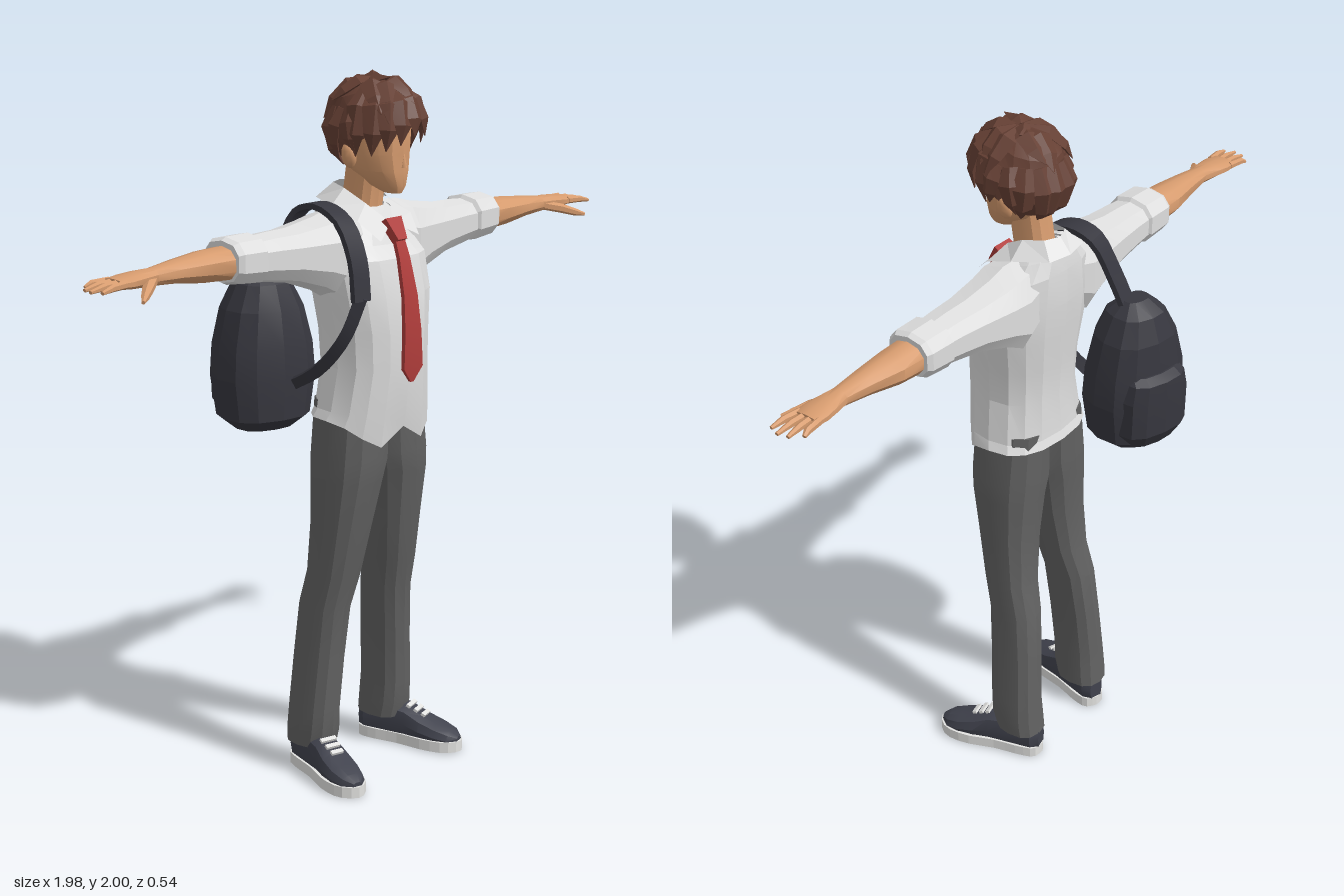
import * as THREE from 'three';
import { toCreasedNormals } from 'three/addons/utils/BufferGeometryUtils.js';

const V = (x, y, z) => new THREE.Vector3(x, y, z);
const mat = (name, color, extra = {}) => Object.assign(new THREE.MeshStandardMaterial({ color, ...extra }), { name });
const rad = THREE.MathUtils.degToRad;

// Skins closed rings of points; ring order must turn counter-clockwise about the travel direction.
function skin(rings, crease = 0.45, caps = true) {
  const n = rings[0].length, pos = [], idx = [];
  rings.flat().forEach(p => pos.push(p.x, p.y, p.z));
  for (let i = 0; i < rings.length - 1; i++) {
    for (let j = 0; j < n; j++) {
      const a = i * n + j, b = i * n + (j + 1) % n;
      idx.push(a, b, a + n, b, b + n, a + n);
    }
  }
  if (caps) {
    const e = (rings.length - 1) * n;
    for (let j = 1; j < n - 1; j++) idx.push(0, j + 1, j, e, e + j, e + j + 1);
  }
  const g = new THREE.BufferGeometry();
  g.setAttribute('position', new THREE.Float32BufferAttribute(pos, 3));
  g.setIndex(idx);
  return toCreasedNormals(g, crease);
}

// Rounded sections along an axis (0 x, 1 y, 2 z): [station, u0, u1, v0, v1], u and v being the next two axes.
function loft(axis, sections, { n = 12, power = 0.8, crease, caps, tweak } = {}) {
  const round = c => Math.sign(c) * Math.pow(Math.abs(c), power);
  return skin(sections.map(([s, u0, u1, v0, v1], row) => Array.from({ length: n }, (_, j) => {
    const t = j / n * Math.PI * 2, p = V(0, 0, 0);
    p.setComponent(axis, s);
    p.setComponent((axis + 1) % 3, (u0 + u1) / 2 + (u1 - u0) / 2 * round(Math.cos(t)));
    p.setComponent((axis + 2) % 3, (v0 + v1) / 2 + (v1 - v0) / 2 * round(Math.sin(t)));
    if (tweak) tweak(p, row, t);
    return p;
  })), crease, caps);
}

// Sweeps a section along points; thick lies along normalAt(p), wide across it.
function sweep(pts, thick, wide, normalAt, { n = 4, box = false, crease = 0.3 } = {}) {
  const k = box ? Math.SQRT2 : 1, off = box ? Math.PI / 4 : 0;
  return skin(pts.map((p, i) => {
    const d = pts[Math.min(i + 1, pts.length - 1)].clone().sub(pts[Math.max(i - 1, 0)]).normalize();
    const u = normalAt(p).clone().addScaledVector(d, -normalAt(p).dot(d)).normalize();
    const v = d.clone().cross(u);
    return Array.from({ length: n }, (_, j) => {
      const t = off + j / n * Math.PI * 2;
      return p.clone().addScaledVector(u, thick[i] * k * Math.cos(t)).addScaledVector(v, wide[i] * k * Math.sin(t));
    });
  }), crease);
}

function mirrored(geo) {
  const g = geo.index ? geo.toNonIndexed() : geo.clone();
  for (const name of ['position', 'normal']) {
    const a = g.attributes[name], src = a.clone();
    for (let i = 0; i < a.count; i++) {
      const j = i % 3 === 0 ? i : i % 3 === 1 ? i + 1 : i - 1;
      a.setXYZ(i, -src.getX(j), src.getY(j), src.getZ(j));
    }
  }
  return g;
}

export function createModel() {
  const model = new THREE.Group();
  const skinM = mat('skin', 0xd69b6e), hairM = mat('hair brown', 0x664034, { side: THREE.DoubleSide });
  const shirtM = mat('shirt white', 0xdedede, { side: THREE.DoubleSide }), tieM = mat('tie red', 0xb03d3b);
  const trouserM = mat('trouser grey', 0x626262), bagM = mat('bag charcoal', 0x37373f);
  const shoeM = mat('shoe slate', 0x41434e), soleM = mat('sole white', 0xe2e2e0), treadM = mat('tread black', 0x212125);
  const add = (name, geo, m, parent = model) => {
    const mesh = new THREE.Mesh(geo, m);
    mesh.name = name;
    parent.add(mesh);
    return mesh;
  };
  const pair = (name, geo, m) => {
    add('left' + name, geo, m);
    add('right' + name, mirrored(geo), m);
  };

  // Shirt body with a wavy tail hem and a neckline lower at the front
  add('shirtBody', loft(1, [
    [1.0, -0.03, 0.225, -0.178, 0.178], [1.08, -0.022, 0.235, -0.167, 0.167], [1.2, -0.015, 0.245, -0.148, 0.148],
    [1.3, -0.022, 0.245, -0.152, 0.152], [1.4, -0.033, 0.238, -0.17, 0.17], [1.5, -0.042, 0.212, -0.175, 0.175],
    [1.57, -0.042, 0.18, -0.155, 0.155], [1.62, -0.035, 0.15, -0.105, 0.105], [1.65, -0.01, 0.125, -0.06, 0.06],
  ], {
    n: 16, crease: 0.2, caps: false, tweak: (p, row, t) => {
      if (row === 0) p.y = Math.abs(p.x) < 0.02 && p.z > 0.1 ? 1.03 : 1.055 - 0.085 * Math.max(0, Math.cos(t)) ** 2;
      if (p.y > 1.55) p.y += (0.06 - p.z) * 0.3;
    },
  }), shirtM);

  // Sleeves and rolled cuffs
  pair('Sleeve', loft(0, [
    [0.08, 1.42, 1.635, -0.025, 0.15], [0.14, 1.385, 1.632, -0.035, 0.165], [0.2, 1.42, 1.617, -0.03, 0.155],
    [0.3, 1.455, 1.602, -0.015, 0.142], [0.38, 1.468, 1.6, -0.008, 0.135], [0.45, 1.48, 1.595, -0.004, 0.13],
  ], { n: 10, crease: 0.2 }), shirtM);
  pair('Cuff', loft(0, [
    [0.425, 1.485, 1.595, 0.0, 0.127], [0.435, 1.472, 1.607, -0.013, 0.14],
    [0.515, 1.48, 1.606, -0.013, 0.138], [0.53, 1.487, 1.598, -0.004, 0.128],
  ], { n: 10, crease: 0.2 }), shirtM);

  // Folded collar, one half mirrored
  const top = [V(0.005, 1.592, 0.178), V(0.048, 1.645, 0.125), V(0.064, 1.682, 0.06), V(0.045, 1.69, 0.002), V(0, 1.69, -0.018)];
  const low = [V(0.078, 1.553, 0.208), V(0.108, 1.605, 0.15), V(0.115, 1.638, 0.06), V(0.072, 1.648, -0.038), V(0, 1.648, -0.053)];
  const collar = new THREE.BufferGeometry().setFromPoints(top.slice(1).flatMap((_, i) =>
    [low[i], low[i + 1], top[i], low[i + 1], top[i + 1], top[i]]));
  collar.computeVertexNormals();
  pair('Collar', collar, shirtM);

  // Tie
  const front = () => V(0, 0, 1);
  add('tieKnot', sweep([V(0, 1.6, 0.172), V(0, 1.545, 0.208)], [0.014, 0.012], [0.032, 0.018], front, { box: true }), tieM);
  add('tieBlade', sweep([V(0, 1.555, 0.2), V(0, 1.5, 0.22), V(0, 1.4, 0.243), V(0.002, 1.3, 0.251), V(0.004, 1.2, 0.251), V(0.004, 1.16, 0.248)],
    [0.006, 0.006, 0.006, 0.006, 0.006, 0.004], [0.018, 0.021, 0.027, 0.033, 0.038, 0.006], front, { box: true }), tieM);

  // Neck, head, ears and nose
  add('neck', loft(1, [[1.55, -0.01, 0.13, -0.055, 0.055], [1.63, 0.01, 0.125, -0.046, 0.046], [1.76, 0.03, 0.145, -0.046, 0.046]]), skinM);
  add('head', loft(1, [
    [1.675, 0.15, 0.208, -0.018, 0.018], [1.695, 0.1, 0.217, -0.037, 0.037], [1.735, 0.04, 0.218, -0.062, 0.062],
    [1.78, 0.01, 0.218, -0.075, 0.075], [1.85, 0.0, 0.222, -0.08, 0.08], [1.91, 0.01, 0.21, -0.07, 0.07], [1.95, 0.05, 0.16, -0.03, 0.03],
  ], { n: 14, power: 0.9 }), skinM);
  const nose = add('nose', new THREE.ConeGeometry(0.01, 0.04, 4), skinM);
  nose.position.set(0, 1.765, 0.221);
  const ear = new THREE.SphereGeometry(1, 8, 6).scale(0.016, 0.036, 0.024);
  pair('Ear', ear.rotateZ(-0.25).translate(0.088, 1.775, 0.1), skinM);

  // Hair shell, low at the nape, and layered pointed locks
  const hair = new THREE.Group();
  hair.name = 'hair';
  model.add(hair);
  const hc = V(0.002, 1.85, 0.112);
  const onHair = (az, el, k = 1) => V(
    hc.x + 0.112 * k * Math.sin(rad(az)) * Math.cos(rad(el)),
    hc.y + 0.128 * k * Math.sin(rad(el)),
    hc.z + 0.138 * k * Math.cos(rad(az)) * Math.cos(rad(el)));
  const hairline = az => -22 + 30 * Math.cos(rad(az)) - (Math.cos(rad(az)) < -0.2 ? 6 : 0);
  add('hairShell', skin([0, 0, 0.2, 0.4, 0.6, 0.8, 0.97].map((s, i) => Array.from({ length: 16 }, (_, j) => {
    const az = j * 22.5, el = hairline(az);
    return onHair(az, el + (90 - el) * s, i === 0 ? 0.75 : 1);
  })), 0.3), hairM, hair);
  const lock = (az, el0, el1, w, turn = 8, lift = 1.1) => {
    const pts = [0, 0.35, 0.7, 1].map((s, i) => onHair(az + turn * s, el0 + (el1 - el0) * s, [0.97, 1.04, 1.06, lift][i]));
    add('hairLock', sweep(pts, [0.008, 0.016, 0.013, 0.001], [w * 0.6, w, w * 0.75, 0.001], p => p.clone().sub(hc).normalize()), hairM, hair);
  };
  // Fringe: [azimuth, tip elevation]
  for (const [az, tip] of [[-72, -32], [-50, -30], [-32, -24], [-14, -17], [6, -8], [24, -10], [44, -20], [64, -30]]) {
    lock(az, 58, tip, 0.036, az < 10 ? -8 : 8, 1.08);
  }
  // Sides and nape
  for (let i = 0; i < 10; i++) {
    const az = 88 + i * 20.5, back = 1 - Math.abs(az - 180) / 92;
    lock(az, 25, -26 - 32 * Math.min(1, back * 1.6), 0.034, i % 2 ? 7 : -7, 1.08);
  }
  // Crown tufts
  for (let i = 0; i < 9; i++) lock(i * 40 + 15, 84, 28 - (i % 3) * 10, 0.036, i % 2 ? 18 : -14, 1.14);
  lock(-60, 88, 62, 0.022, 40, 1.2);
  lock(150, 88, 60, 0.022, -30, 1.18);

  // Forearms, palms, fingers and thumbs
  pair('Forearm', loft(0, [
    [0.48, 1.49, 1.586, 0.005, 0.12], [0.6, 1.497, 1.582, 0.01, 0.116], [0.7, 1.511, 1.573, 0.028, 0.106], [0.78, 1.517, 1.564, 0.042, 0.098],
    [0.83, 1.52, 1.562, 0.03, 0.108], [0.87, 1.522, 1.558, 0.023, 0.112], [0.905, 1.526, 1.553, 0.025, 0.108],
  ], { n: 10, power: 0.9, crease: 0.7 }), skinM);
  const up = () => V(0, 1, 0);
  [0.957, 0.983, 0.99, 0.978].forEach((tip, i) => {
    const z = 0.034 + i * 0.022, spread = (i - 1.5) * 0.005;
    pair('Finger', sweep([V(0.89, 1.541, z), V(0.94, 1.54, z + spread), V(tip, 1.533, z + spread * 1.6)],
      [0.011, 0.01, 0.005], [0.0115, 0.0105, 0.006], up, { n: 6, crease: 0.8 }), skinM);
  });
  pair('Thumb', sweep([V(0.795, 1.535, 0.085), V(0.835, 1.525, 0.118), V(0.87, 1.512, 0.145), V(0.893, 1.505, 0.164)],
    [0.014, 0.014, 0.011, 0.005], [0.018, 0.016, 0.011, 0.005], up, { n: 6, crease: 0.8 }), skinM);

  // Trouser legs, meeting at the crotch
  pair('TrouserLeg', loft(1, [
    [0.085, -0.058, 0.088, 0.092, 0.213], [0.13, -0.055, 0.1, 0.092, 0.215], [0.2, -0.05, 0.104, 0.096, 0.21], [0.35, -0.042, 0.112, 0.086, 0.197],
    [0.5, -0.03, 0.122, 0.07, 0.188], [0.6, -0.006, 0.146, 0.052, 0.183], [0.75, 0, 0.173, 0.027, 0.18],
    [0.88, -0.008, 0.198, 0.006, 0.178], [0.94, -0.012, 0.204, -0.012, 0.176], [1.1, -0.012, 0.2, -0.012, 0.155],
  ], { n: 12 }), trouserM);

  // Shoes: black tread, white sole, upper and laces, toes turned outwards
  const outline = k => new THREE.Shape(new THREE.SplineCurve([
    [0, -0.062], [0.034, -0.048], [0.043, 0], [0.045, 0.08], [0.058, 0.17], [0.046, 0.24], [0, 0.272],
    [-0.042, 0.24], [-0.052, 0.17], [-0.042, 0.08], [-0.043, 0], [-0.034, -0.048], [0, -0.062],
  ].map(([x, z]) => new THREE.Vector2(x * k, 0.1 + (z - 0.1) * k))).getPoints(28));
  const slab = (k, y0, y1) => new THREE.ExtrudeGeometry(outline(k), { depth: y1 - y0, bevelEnabled: false })
    .rotateX(Math.PI / 2).translate(0, y1, 0);
  const placeShoe = g => g.rotateY(0.26).translate(0.153, 0, 0.003);
  pair('ShoeTread', placeShoe(slab(0.88, 0, 0.004)), treadM);
  pair('ShoeSole', placeShoe(slab(1, 0.002, 0.034)), soleM);
  pair('ShoeUpper', placeShoe(loft(2, [
    [-0.058, -0.022, 0.022, 0.02, 0.1], [-0.035, -0.04, 0.04, 0.01, 0.122], [0.04, -0.043, 0.043, 0.01, 0.128], [0.1, -0.044, 0.045, 0.01, 0.12],
    [0.15, -0.049, 0.053, 0.01, 0.095], [0.2, -0.048, 0.053, 0.01, 0.076], [0.24, -0.038, 0.041, 0.01, 0.062], [0.264, -0.014, 0.014, 0.02, 0.046],
  ], { n: 10, crease: 0.5 })), shoeM);
  for (let i = 0; i < 3; i++) {
    pair('ShoeLace', placeShoe(new THREE.BoxGeometry(0.05 - i * 0.006, 0.008, 0.013).rotateX(0.45)
      .translate(0, 0.118 - i * 0.0105, 0.108 + i * 0.023)), soleM);
  }

  // Backpack hung behind the right shoulder, turned slightly
  const bag = new THREE.Group();
  bag.name = 'backpack';
  bag.position.set(-0.2, 0, -0.125);
  bag.rotation.y = -0.22;
  model.add(bag);
  add('bagBody', loft(1, [
    [1.01, -0.07, 0.07, -0.085, 0.085], [1.045, -0.105, 0.11, -0.13, 0.13], [1.16, -0.115, 0.12, -0.147, 0.147], [1.25, -0.112, 0.115, -0.14, 0.14],
    [1.35, -0.1, 0.1, -0.115, 0.115], [1.42, -0.075, 0.075, -0.08, 0.08], [1.455, -0.03, 0.03, -0.04, 0.04],
  ], { n: 12, crease: 0.2 }), bagM, bag);
  add('bagPocket', loft(1, [
    [1.035, -0.11, 0, -0.085, 0.085], [1.08, -0.137, 0, -0.112, 0.112], [1.19, -0.142, 0, -0.112, 0.112], [1.245, -0.14, 0, -0.1, 0.1], [1.262, -0.115, 0, -0.09, 0.09],
  ], { n: 12, crease: 0.2 }), bagM, bag);

  // Shoulder strap and its thinner lower webbing
  const away = c => p => p.clone().sub(c).normalize();
  const path = (pts, count) => new THREE.CatmullRomCurve3(pts).getPoints(count);
  const upper = path([V(-0.185, 1.4, -0.125), V(-0.17, 1.53, -0.068), V(-0.152, 1.622, -0.02), V(-0.146, 1.642, 0.05),
    V(-0.147, 1.605, 0.135), V(-0.15, 1.51, 0.188), V(-0.153, 1.4, 0.205)], 18);
  add('shoulderStrap', sweep(upper, upper.map(() => 0.008), upper.map(() => 0.031), away(V(-0.15, 1.4, 0.05)), { box: true }), bagM);
  const lower = path([V(-0.153, 1.41, 0.205), V(-0.172, 1.3, 0.165), V(-0.185, 1.2, 0.08), V(-0.195, 1.13, -0.04)], 10);
  add('strapWebbing', sweep(lower, lower.map(() => 0.005), lower.map(() => 0.017), away(V(-0.05, 1.3, 0.05)), { box: true }), bagM);

  return model;
}
